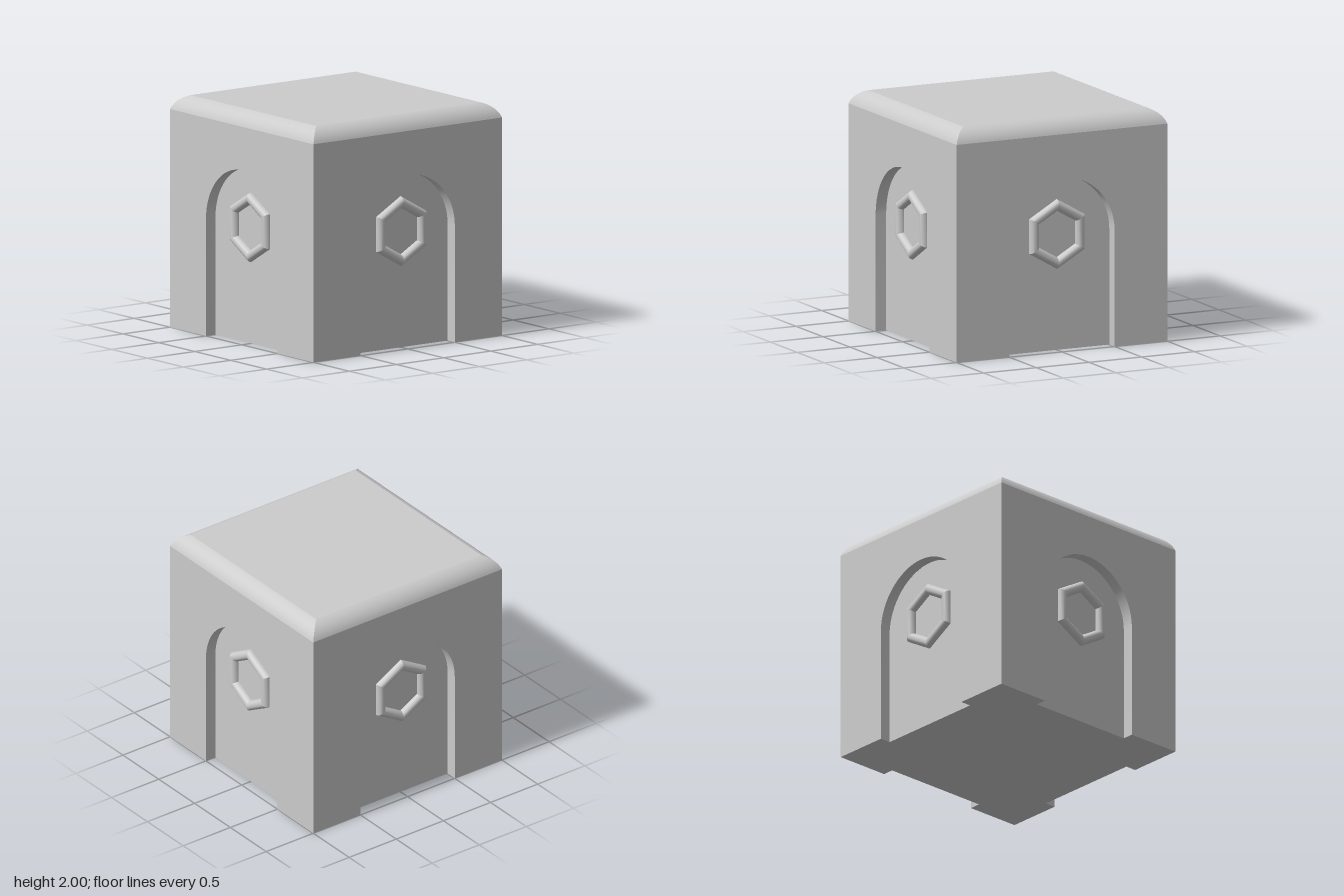
import * as THREE from 'three';
import { toCreasedNormals } from 'three/addons/utils/BufferGeometryUtils.js';

const HALF = 1, DEPTH = 0.1, ARCH = 0.5, SPRING = 1, EDGE = 0.125, ROUND = 0.19;
const material = new THREE.MeshStandardMaterial({ color: 0xcccccc });

function add(parent, name, geometry) {
  const mesh = new THREE.Mesh(geometry, material);
  mesh.name = name;
  parent.add(mesh);
  return mesh;
}

// Smooth band of quads between two matching rows of points
function band(left, right) {
  const points = [];
  for (let i = 0; i < left.length - 1; i++) {
    points.push(left[i], right[i], right[i + 1], left[i], right[i + 1], left[i + 1]);
  }
  const geometry = new THREE.BufferGeometry().setFromPoints(points);
  return toCreasedNormals(geometry, 0.22);
}

const flat = (points) => new THREE.ShapeGeometry(new THREE.Shape(points));

// Arch outline, from the foot at +x over the crown to the foot at -x
function archOutline() {
  const points = [new THREE.Vector2(ARCH, 0)];
  for (let i = 0; i <= 32; i++) {
    const a = (i / 32) * Math.PI;
    points.push(new THREE.Vector2(ARCH * Math.cos(a), SPRING + ARCH * Math.sin(a)));
  }
  points.push(new THREE.Vector2(-ARCH, 0));
  return points;
}

// Rounded top edge as (distance from centre, height), from wall to roof
function edgeProfile() {
  const reach = (EDGE + Math.sqrt(2 * ROUND * ROUND - EDGE * EDGE)) / 2;
  const start = Math.acos(reach / ROUND) * -1;
  const from = Math.abs(start), to = Math.PI / 2 - from;
  const points = [];
  for (let i = 0; i <= 10; i++) {
    const a = from + ((to - from) * i) / 10;
    points.push([HALF - reach + ROUND * Math.cos(a), 2 - reach + ROUND * Math.sin(a)]);
  }
  return points;
}

function createSide(name) {
  const side = new THREE.Group();
  side.name = name;
  const arch = archOutline();
  const top = 2 - EDGE;

  // Wall with the arched opening
  const wall = [
    new THREE.Vector2(HALF, 0), new THREE.Vector2(HALF, top),
    new THREE.Vector2(-HALF, top), new THREE.Vector2(-HALF, 0),
    ...arch.slice().reverse(),
  ];
  add(side, 'wall', flat(wall)).position.z = HALF;

  // Recessed panel and the reveal around it
  add(side, 'archPanel', flat(arch)).position.z = HALF - DEPTH;
  const at = (z) => arch.map((p) => new THREE.Vector3(p.x, p.y, z));
  add(side, 'archReveal', band(at(HALF - DEPTH), at(HALF)));

  // Rounded edge, mitred at the corners
  const profile = edgeProfile();
  const end = (s) => profile.map(([d, y]) => new THREE.Vector3(s * d, y, d));
  add(side, 'roundedEdge', band(end(-1), end(1)));

  // Hexagonal ring half sunk into the panel
  const ring = new THREE.TorusGeometry(0.25, 0.05, 16, 6).rotateZ(Math.PI / 2);
  add(side, 'hexRing', toCreasedNormals(ring, 0.5)).position.set(0, 1, HALF - DEPTH);
  return side;
}

export function createModel() {
  const model = new THREE.Group();
  model.name = 'archedBlock';

  ['frontSide', 'leftSide', 'backSide', 'rightSide'].forEach((name, i) => {
    const side = createSide(name);
    side.rotation.y = (i * Math.PI) / 2;
    model.add(side);
  });

  // Flat roof
  const roofSize = 2 * (HALF - EDGE);
  const roof = new THREE.PlaneGeometry(roofSize, roofSize).rotateX(-Math.PI / 2);
  add(model, 'roof', roof).position.y = 2;

  // Underside, notched where the recesses reach the ground
  const outline = [];
  const inner = HALF - DEPTH;
  for (let i = 0; i < 4; i++) {
    for (const [x, y] of [[HALF, -HALF], [HALF, -ARCH], [inner, -ARCH], [inner, ARCH], [HALF, ARCH]]) {
      outline.push(new THREE.Vector2(x, y).rotateAround(new THREE.Vector2(), (i * Math.PI) / 2));
    }
  }
  add(model, 'underside', flat(outline).rotateX(Math.PI / 2));

  return model;
}
